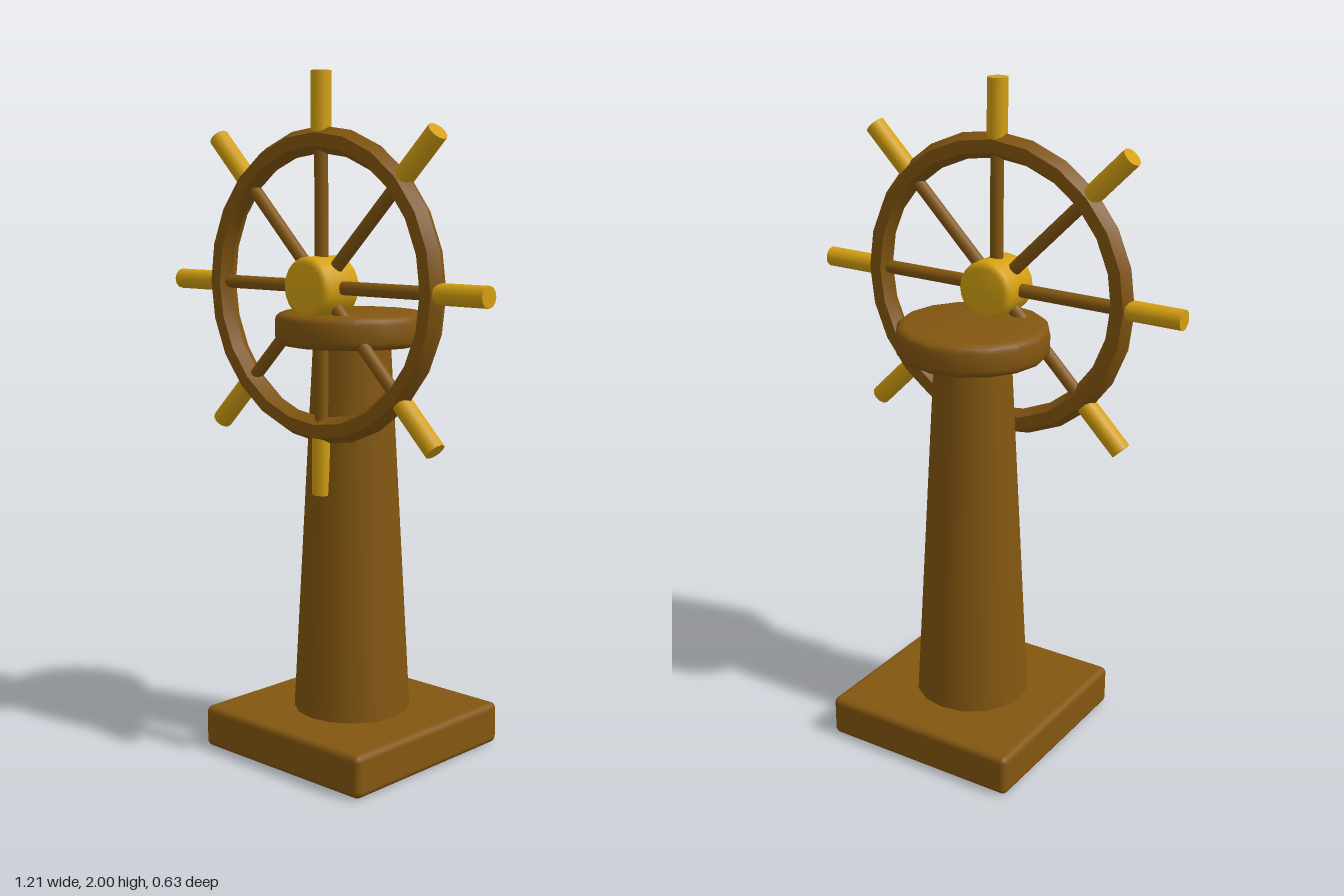
import * as THREE from 'three';
import { toCreasedNormals } from 'three/addons/utils/BufferGeometryUtils.js';
import { RoundedBoxGeometry } from 'three/addons/geometries/RoundedBoxGeometry.js';

const material = (name, color) => {
  const m = new THREE.MeshStandardMaterial({ color });
  m.name = name;
  return m;
};

// Disc with softened rims, centred on its own y axis
function roundedDisc(radius, height, bevel, segments) {
  const h = height / 2;
  const points = [new THREE.Vector2(0, -h)];
  for (const side of [-1, 1]) {
    for (let i = 0; i <= 3; i++) {
      const a = (i / 3) * (Math.PI / 2);
      const [u, v] = side < 0 ? [Math.sin(a), Math.cos(a)] : [Math.cos(a), Math.sin(a)];
      points.push(new THREE.Vector2(radius - bevel + bevel * u, side * (h - bevel + bevel * v)));
    }
  }
  points.push(new THREE.Vector2(0, h));
  return toCreasedNormals(new THREE.LatheGeometry(points, segments), 0.6);
}

export function createModel() {
  const wood = material('wood', 0x835610);
  const brass = material('brass', 0xd4a010);
  const model = new THREE.Group();
  model.name = 'shipWheelOnPedestal';

  const add = (parent, name, geometry, mat, x = 0, y = 0, z = 0) => {
    const mesh = new THREE.Mesh(geometry, mat);
    mesh.name = name;
    mesh.position.set(x, y, z);
    parent.add(mesh);
    return mesh;
  };

  // Pedestal: square foot, tapering column, round cap
  add(model, 'base', new RoundedBoxGeometry(0.63, 0.126, 0.63, 3, 0.02), wood, 0, 0.063, 0);
  add(model, 'column', new THREE.CylinderGeometry(0.113, 0.175, 1.14, 16), wood, 0, 0.68, 0);
  add(model, 'cap', roundedDisc(0.225, 0.095, 0.024, 16), wood, 0, 1.272, 0);

  // Wheel, built around its own centre in the xy plane
  const wheel = new THREE.Group();
  wheel.name = 'wheel';
  wheel.position.set(0, 1.397, 0.127);
  model.add(wheel);

  // Six-sided rim
  const rim = toCreasedNormals(new THREE.TorusGeometry(0.414, 0.038, 6, 24), 0.6);
  add(wheel, 'rim', rim, wood);

  const hub = add(wheel, 'hub', roundedDisc(0.088, 0.146, 0.02, 20), brass);
  hub.rotation.x = Math.PI / 2;

  // Eight spokes, each ending in a handle outside the rim
  const spokeGeometry = new THREE.CylinderGeometry(0.02, 0.02, 0.41, 10);
  const handleGeometry = new THREE.CylinderGeometry(0.03, 0.03, 0.193, 12);
  for (let i = 0; i < 8; i++) {
    const arm = new THREE.Group();
    arm.name = 'arm' + (i + 1);
    arm.rotation.z = (i * Math.PI) / 4;
    add(arm, 'spoke', spokeGeometry, wood, 0, 0.205, 0);
    add(arm, 'handle', handleGeometry, brass, 0, 0.5065, 0);
    wheel.add(arm);
  }
  return model;
}
